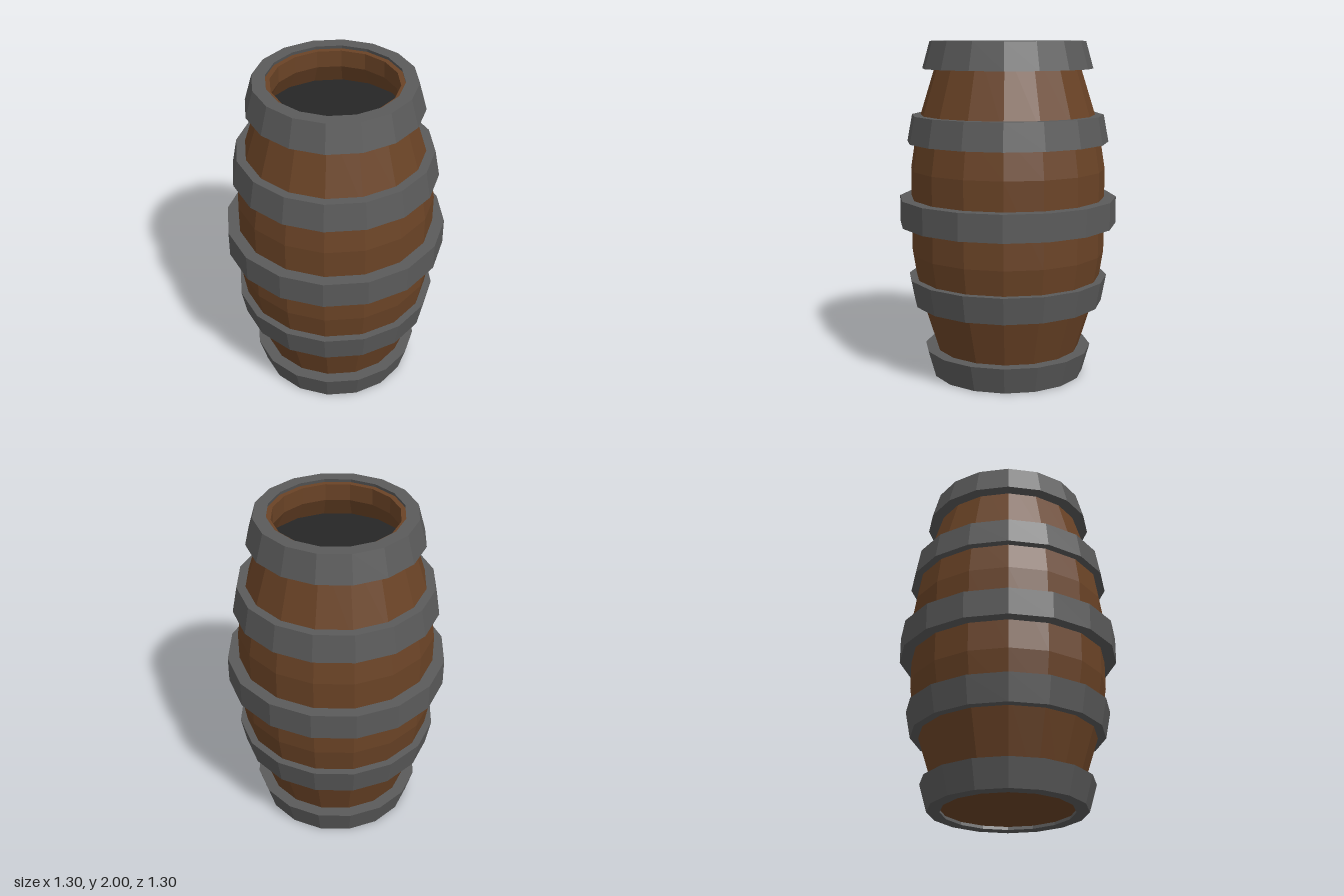
import * as THREE from 'three';

const SIDES = 16;

const wood = new THREE.MeshStandardMaterial({ color: 0x6a4326, flatShading: true });
wood.name = 'wood';
const iron = new THREE.MeshStandardMaterial({ color: 0x5a5a5a, flatShading: true });
iron.name = 'iron';
const dark = new THREE.MeshStandardMaterial({ color: 0x262626, flatShading: true });
dark.name = 'darkContents';

// Faceted solid of revolution from [radius, height] pairs
function turned(name, profile, material) {
  const points = profile.map(([r, y]) => new THREE.Vector2(r, y));
  const geometry = new THREE.LatheGeometry(points, SIDES).toNonIndexed();
  geometry.computeVertexNormals();
  const mesh = new THREE.Mesh(geometry, material);
  mesh.name = name;
  return mesh;
}

// Horizontal disc facing up (dir 1) or down (dir -1)
function disc(name, radius, y, dir, material) {
  const geometry = new THREE.CircleGeometry(radius, SIDES).rotateX(-dir * Math.PI / 2);
  const mesh = new THREE.Mesh(geometry, material);
  mesh.name = name;
  mesh.position.y = y;
  return mesh;
}

// Closed band: inner and outer radii at its lower and upper edge
function hoop(name, y0, y1, inner0, outer0, inner1, outer1) {
  return turned(name, [
    [inner0, y0], [outer0, y0], [outer1, y1], [inner1, y1], [inner0, y0],
  ], iron);
}

export function createModel() {
  const barrel = new THREE.Group();
  barrel.name = 'barrel';

  // Staves: bulging outside, rim, then the inner wall going down
  barrel.add(turned('staves', [
    [0.39, 0.02], [0.54, 0.5], [0.58, 0.75], [0.58, 1.25], [0.54, 1.5], [0.39, 1.98],
    [0.36, 1.98], [0.36, 1.88], [0.42, 1.76],
  ], wood));
  barrel.add(disc('bottom', 0.39, 0.02, -1, wood));
  barrel.add(disc('contents', 0.42, 1.76, 1, dark));

  // Hoops, mirrored about the middle
  barrel.add(hoop('middleHoop', 0.92, 1.08, 0.57, 0.65, 0.57, 0.65));
  barrel.add(hoop('upperHoop', 1.41, 1.57, 0.545, 0.6, 0.51, 0.57));
  barrel.add(hoop('lowerHoop', 0.44, 0.6, 0.51, 0.57, 0.545, 0.6));
  barrel.add(hoop('topHoop', 1.84, 2, 0.425, 0.505, 0.385, 0.46));
  barrel.add(hoop('bottomHoop', 0, 0.16, 0.385, 0.46, 0.425, 0.505));

  return barrel;
}
